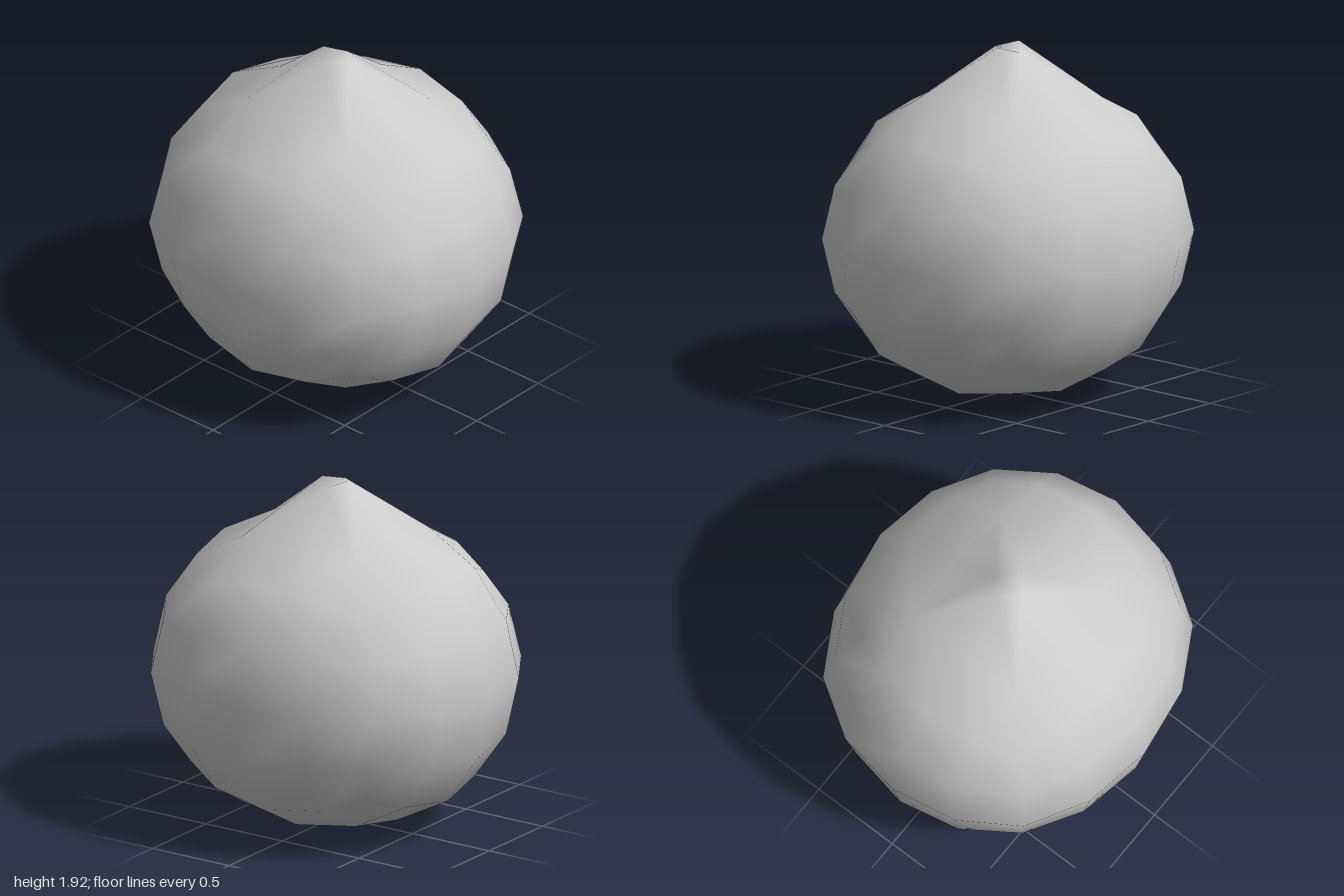
import * as THREE from 'three';
import { mergeVertices } from 'three/addons/utils/BufferGeometryUtils.js';

// Rounded cube: where a grid coordinate of 1 or 0.5 lands,
// looked up by [how many ones - 1][how many halves]
const ROUND = [
  [[0.878, 0], [0.8195, 0.3505], [0.764, 0.326]],
  [[0.643, 0], [0.599, 0.302]],
  [[0.509, 0]],
];
const RADII = [1 / 0.878, 0.86 / 0.878, 0.935 / 0.878];
const CENTRE_Y = 0.86;

function roundPoint(p) {
  const ones = p.filter((c) => Math.abs(c) === 1).length;
  const halves = p.filter((c) => Math.abs(c) === 0.5).length;
  const [one, half] = ROUND[ones - 1][halves];
  return p.map((c, i) => {
    const size = Math.abs(c) === 1 ? one : Math.abs(c) === 0.5 ? half : 0;
    return Math.sign(c) * size * RADII[i] + (i === 1 ? CENTRE_Y : 0);
  });
}

function bodyGeometry() {
  const box = new THREE.BoxGeometry(2, 2, 2, 4, 4, 4);
  box.deleteAttribute('normal');
  box.deleteAttribute('uv');
  const grid = mergeVertices(box);
  const pos = grid.attributes.position;
  const cells = [];
  for (let i = 0; i < pos.count; i++) {
    cells.push([pos.getX(i), pos.getY(i), pos.getZ(i)].map((c) => Math.round(c * 2) / 2));
  }
  const find = (x, y, z) => cells.findIndex((c) => c[0] === x && c[1] === y && c[2] === z);

  // Keep everything but the four quads around the top
  const inTop = (i) => cells[i][1] === 1 && Math.abs(cells[i][0]) < 1 && Math.abs(cells[i][2]) < 1;
  const index = [];
  for (let t = 0; t < grid.index.count; t += 3) {
    const tri = [0, 1, 2].map((k) => grid.index.getX(t + k));
    if (!tri.every(inTop)) index.push(...tri);
  }

  // Pulled-up tip: a small diamond joined to the ring around it
  const points = cells.map(roundPoint);
  const first = points.length;
  points.push([0, 1.89, 0.09], [0.09, 1.91, 0], [0, 1.882, -0.09], [-0.09, 1.918, 0]);
  const dirs = [[0, 0.5], [0.5, 0], [0, -0.5], [-0.5, 0]];
  for (let k = 0; k < 4; k++) {
    const n = (k + 1) % 4;
    const [a, b] = [dirs[k], dirs[n]];
    const corner = find(a[0] + b[0], 1, a[1] + b[1]);
    index.push(corner, find(b[0], 1, b[1]), first + n);
    index.push(corner, first + n, first + k);
    index.push(corner, first + k, find(a[0], 1, a[1]));
  }
  index.push(first, first + 1, first + 2, first, first + 2, first + 3);

  const geometry = new THREE.BufferGeometry();
  geometry.setAttribute('position', new THREE.Float32BufferAttribute(points.flat(), 3));
  geometry.setIndex(index);
  geometry.computeVertexNormals();
  return geometry;
}

export function createModel() {
  const group = new THREE.Group();
  group.name = 'pointedBall';
  const body = new THREE.Mesh(bodyGeometry(), new THREE.MeshStandardMaterial({ color: 0xcccccc }));
  body.name = 'body';
  group.add(body);
  return group;
}
